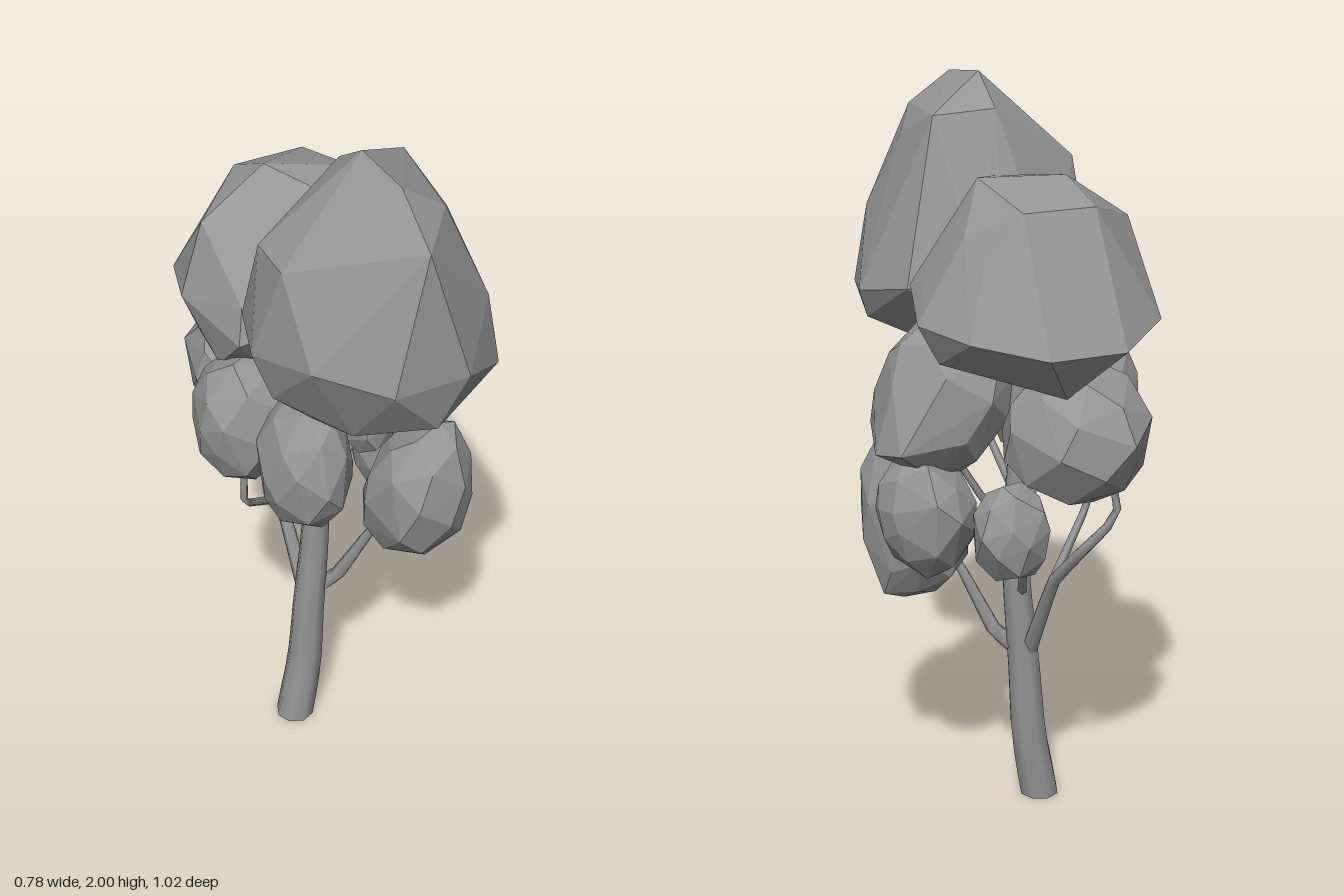
import * as THREE from 'three';
import { ConvexGeometry } from 'three/addons/geometries/ConvexGeometry.js';

const leafMaterial = new THREE.MeshStandardMaterial({ color: 0x969696, flatShading: true });
const barkMaterial = new THREE.MeshStandardMaterial({ color: 0x969696 });

function seeded(seed) {
  let s = seed * 7919 + 17;
  return () => (s = (s * 16807) % 2147483647) / 2147483647;
}

// Faceted leaf clump: hull of a jittered, sheared ellipsoid plus optional corner points.
function clump(name, { at, size, lean = [0, 0], count = 34, corners = [], seed = 1 }) {
  const rand = seeded(seed);
  const points = corners.map((p) => new THREE.Vector3(...p));
  for (let i = 0; i < count; i++) {
    const y = 1 - (2 * (i + 0.5)) / count;
    const a = i * 2.39996 + (rand() - 0.5) * 0.5;
    const r = Math.sqrt(1 - y * y);
    const k = 1 + rand() * 0.08;
    points.push(new THREE.Vector3(
      at[0] + size[0] * k * r * Math.cos(a) + lean[0] * y,
      at[1] + size[1] * k * y,
      at[2] + size[2] * k * r * Math.sin(a) + lean[1] * y));
  }
  const mesh = new THREE.Mesh(new ConvexGeometry(points), leafMaterial);
  mesh.name = name;
  return mesh;
}

// Tapered limb: a tube whose rings shrink from r0 to r1 along the path.
function limb(name, path, r0, r1, sides = 5, tension = 0.1) {
  const curve = new THREE.CatmullRomCurve3(
    path.map((p) => new THREE.Vector3(...p)), false, 'catmullrom', tension);
  const steps = (path.length - 1) * 3;
  const geo = new THREE.TubeGeometry(curve, steps, 1, sides);
  const pos = geo.attributes.position;
  const v = new THREE.Vector3();
  for (let i = 0; i < pos.count; i++) {
    const t = Math.floor(i / (sides + 1)) / steps;
    const c = curve.getPointAt(t);
    v.fromBufferAttribute(pos, i).sub(c).multiplyScalar(r0 + (r1 - r0) * t).add(c);
    pos.setXYZ(i, v.x, t === 0 && c.y === 0 ? 0 : v.y, v.z);
  }
  const mesh = new THREE.Mesh(geo, barkMaterial);
  mesh.name = name;
  return mesh;
}

export function createModel() {
  const tree = new THREE.Group();
  tree.name = 'tree';

  // Leaning trunk with a closed foot
  tree.add(limb('trunk', [
    [-0.095, 0, -0.083], [-0.062, 0.19, -0.082], [-0.047, 0.4, -0.08], [-0.028, 0.6, -0.08],
    [-0.018, 0.8, -0.08], [-0.03, 1.05, -0.08], [-0.02, 1.35, -0.08],
  ], 0.056, 0.024, 8, 0.4));
  const foot = new THREE.Mesh(new THREE.CircleGeometry(0.055, 8), barkMaterial);
  foot.name = 'trunkFoot';
  foot.rotation.x = Math.PI / 2;
  foot.position.set(-0.095, 0.001, -0.083);
  tree.add(foot);

  // Branches reaching into the clumps
  const branches = {
    lowFrontBranch: [[-0.03, 0.45, -0.08], [0.025, 0.5, -0.045], [0.1, 0.68, 0.02], [0.16, 0.78, 0.07]],
    backBranch: [[-0.05, 0.43, -0.09], [-0.06, 0.7, -0.23], [-0.1, 0.82, -0.33], [-0.17, 0.92, -0.38], [-0.15, 1.06, -0.37]],
    backLeftBranch: [[-0.03, 0.62, -0.1], [0.01, 0.74, -0.19], [0.06, 0.85, -0.26]],
    sideBranch: [[-0.06, 0.69, -0.22], [-0.245, 0.845, -0.07], [-0.245, 0.93, -0.07], [-0.25, 1.1, -0.06]],
    frontBranch: [[-0.03, 0.8, -0.08], [-0.14, 0.9, 0.03], [-0.18, 1.02, 0.13]],
    innerBranch: [[-0.02, 0.9, -0.08], [0, 1.02, 0.03], [0.02, 1.15, 0.14]],
    leftBranch: [[-0.02, 0.78, -0.08], [0.07, 0.9, -0.07], [0.18, 1.08, -0.07]],
  };
  for (const [name, path] of Object.entries(branches)) {
    const thick = name === 'backBranch' || name === 'lowFrontBranch';
    tree.add(limb(name, path, thick ? 0.024 : 0.013, 0.009));
  }

  // Two large crown clumps that grow into each other
  tree.add(clump('frontCrown', {
    at: [-0.02, 1.6, 0.22], size: [0.27, 0.29, 0.24], count: 18, seed: 3,
    corners: [
      [-0.04, 2, 0.2], [-0.03, 1.98, 0.37], [0.14, 1.91, 0.09], [-0.03, 1.92, 0.07],
      [-0.3, 1.78, 0.28], [-0.28, 1.77, 0.12], [-0.02, 1.86, 0.49], [0.22, 1.64, 0.27],
      [0.15, 1.84, 0.28], [0.09, 1.9, 0.37], [0.21, 1.63, 0.39],
      [0.31, 1.44, 0.2], [0.25, 1.42, 0.39], [0.09, 1.5, 0.51], [-0.12, 1.5, 0.51],
      [-0.28, 1.55, 0.39], [-0.345, 1.52, 0.2], [-0.28, 1.52, 0.02], [0.25, 1.48, 0.01],
      [0.09, 1.5, -0.1], [-0.12, 1.5, -0.1], [0, 1.68, -0.03],
      [0.28, 1.36, 0.22], [-0.3, 1.39, 0.22], [0.12, 1.28, 0.2], [-0.03, 1.265, 0.12],
      [-0.2, 1.31, 0.25], [0.02, 1.35, 0.48], [-0.02, 1.28, 0.34], [0.02, 1.3, -0.02],
      [-0.15, 1.31, 0.36], [0.13, 1.3, 0.34], [-0.2, 1.31, 0.1],
    ],
  }));
  tree.add(clump('backCrown', {
    at: [-0.01, 1.52, -0.2], size: [0.26, 0.21, 0.23], count: 18, lean: [0, 0.04], seed: 5,
    corners: [
      [-0.12, 1.4, -0.51], [0.09, 1.4, -0.51], [0.25, 1.43, -0.39], [0.31, 1.44, -0.2],
      [-0.28, 1.44, -0.39], [-0.345, 1.47, -0.2], [0.25, 1.5, -0.01], [-0.27, 1.52, 0],
      [0.1, 1.78, -0.1], [-0.1, 1.79, -0.2], [0.08, 1.73, -0.33], [-0.12, 1.73, -0.33],
      [0, 1.76, 0], [0, 1.27, -0.42], [0.1, 1.3, -0.22], [-0.1, 1.29, -0.22],
      [0.08, 1.48, 0.09], [-0.12, 1.48, 0.09], [0.26, 1.34, -0.22], [-0.29, 1.34, -0.22],
      [0.19, 1.66, -0.22], [-0.28, 1.67, -0.2], [-0.18, 1.27, -0.06], [0.13, 1.28, -0.06],
      [-0.29, 1.3, -0.1], [-0.29, 1.42, 0.02],
    ],
  }));

  // Smaller clumps around the trunk
  const clumps = {
    leftClump: { at: [0.175, 1.21, -0.065], size: [0.175, 0.225, 0.185], lean: [-0.03, 0], seed: 7,
      corners: [[0.39, 1.08, -0.1], [0.36, 1.1, -0.2], [0.31, 1.36, -0.08], [0.34, 1.12, 0.06],
        [0.02, 1.03, 0.02], [0.24, 1.0, -0.06], [0.02, 1.25, 0.04], [0.12, 1.455, -0.06]] },
    lowFrontClump: { at: [0.205, 0.835, 0.09], size: [0.145, 0.23, 0.155], lean: [0.01, 0.03], seed: 11,
      corners: [[0.3, 1.05, 0.12], [0.25, 0.6, 0.06], [0.31, 0.62, 0.06]] },
    lowLeftClump: { at: [0.25, 0.9, -0.1], size: [0.13, 0.178, 0.152], lean: [0.02, -0.02], seed: 13,
      corners: [[0.385, 0.93, -0.1]] },
    lowBackClump: { at: [0.075, 0.87, -0.255], size: [0.105, 0.135, 0.092], count: 28, seed: 17 },
    backClump: { at: [-0.08, 1.14, -0.325], size: [0.2, 0.18, 0.175], seed: 19,
      corners: [[-0.15, 1.15, -0.512]] },
    rightClump: { at: [-0.25, 1.165, -0.05], size: [0.137, 0.19, 0.137], seed: 23 },
    frontRightClump: { at: [-0.18, 1.115, 0.16], size: [0.118, 0.195, 0.142], seed: 29 },
    frontSmallClump: { at: [0.015, 1.175, 0.14], size: [0.073, 0.1, 0.075], count: 24, seed: 31 },
  };
  for (const [name, spec] of Object.entries(clumps)) tree.add(clump(name, spec));

  return tree;
}
